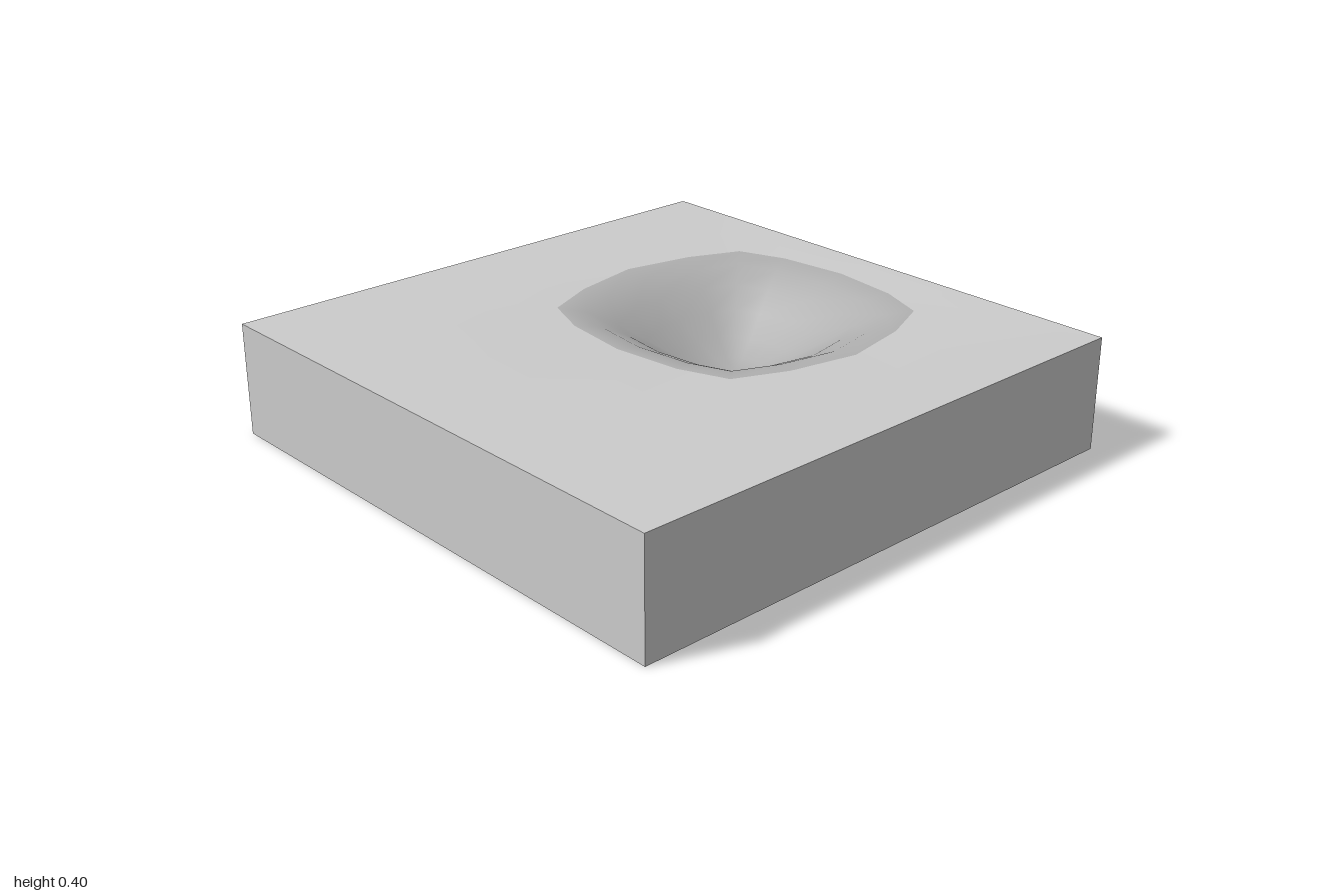
import * as THREE from 'three';

const SIDES = 16, TOP = 0.4, RIM_Y = 0.395, DEPTH = 0.23, CENTRE_Z = -0.31;

// Quarter of the bowl outline, from the back point round to the left point
const QUARTER = [[0, 0.53], [0.25, 0.5], [0.42, 0.435], [0.5, 0.25], [0.55, 0]];

// Outline offset from the bowl centre, mirrored into all four quarters
function rimPoint(j) {
  const k = j % 8;
  const [x, z] = QUARTER[k <= 4 ? k : 8 - k];
  return [j < 8 ? x : -x, j < 4 || j > 12 ? -z : z];
}

// Matching point on the edge of the square block
function squarePoint(j) {
  const edge = (k) => {
    const m = k % SIDES;
    const d = m <= 8 ? m : SIDES - m;
    return THREE.MathUtils.clamp(d - 4, -2, 2) / 2;
  };
  return [edge(j + 4), edge(j)];
}

export function createModel() {
  const group = new THREE.Group();
  const positions = [0, RIM_Y - DEPTH, CENTRE_Z];
  let rings = 0;
  const addRing = (fn) => {
    for (let j = 0; j < SIDES; j++) positions.push(...fn(j));
    rings++;
  };

  // Bowl rings, from the bottom out to the rim: flat at both, steepest between
  const bowlRings = 6;
  for (let r = 1; r <= bowlRings; r++) {
    const t = r / bowlRings;
    const y = RIM_Y - DEPTH * (0.5 + 0.5 * Math.cos(Math.PI * t));
    addRing((j) => {
      const [x, z] = rimPoint(j);
      return [x * t, y, CENTRE_Z + z * t];
    });
  }
  // Square edge of the top
  addRing((j) => {
    const [x, z] = squarePoint(j);
    return [x, TOP, z];
  });

  const id = (r, j) => (r === 0 ? 0 : 1 + (r - 1) * SIDES + (j % SIDES));
  const strip = (from, to) => {
    const index = [];
    for (let r = from; r < to; r++) {
      for (let j = 0; j < SIDES; j++) {
        if (r > 0) index.push(id(r, j), id(r, j + 1), id(r + 1, j + 1));
        index.push(id(r, j), id(r + 1, j + 1), id(r + 1, j));
      }
    }
    return index;
  };

  // One smooth surface, shared by the bowl and the flat top
  const surface = new THREE.BufferGeometry();
  surface.setAttribute('position', new THREE.Float32BufferAttribute(positions, 3));
  surface.setIndex(strip(0, rings));
  surface.computeVertexNormals();

  const grey = new THREE.MeshStandardMaterial({ color: 0xcccccc, side: THREE.DoubleSide });
  const darkGrey = new THREE.MeshStandardMaterial({ color: 0xb0b0b0, side: THREE.DoubleSide });
  const addPart = (name, geometry, material) => {
    const mesh = new THREE.Mesh(geometry, material);
    mesh.name = name;
    group.add(mesh);
  };
  const part = (from, to) => surface.clone().setIndex(strip(from, to));
  addPart('bowl', part(0, bowlRings), darkGrey);
  addPart('topSurface', part(bowlRings, rings), grey);

  // Four side walls; the underside is open
  ['frontWall', 'leftWall', 'backWall', 'rightWall'].forEach((name, i) => {
    const wall = new THREE.PlaneGeometry(2, TOP);
    wall.translate(0, TOP / 2, 1);
    wall.rotateY((i * Math.PI) / 2);
    addPart(name, wall, grey);
  });
  return group;
}
